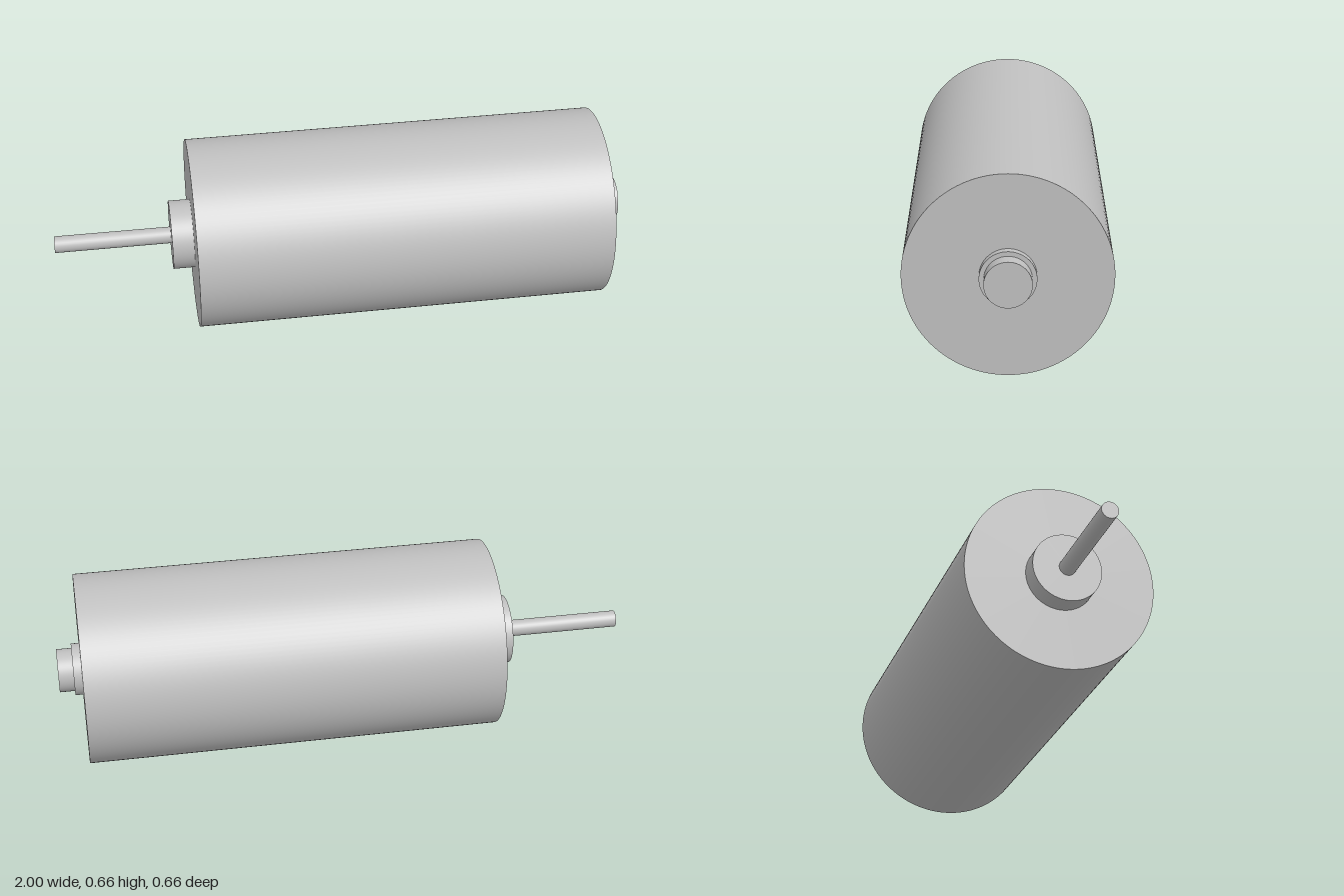
import * as THREE from 'three';

const AXIS_Y = 0.33; // height of the shared axis

export function createModel() {
  const group = new THREE.Group();
  const metal = new THREE.MeshStandardMaterial({ color: 0xc0c0c0 });
  metal.name = 'grey metal';

  // Cylinder lying along x between two ends
  function addRound(name, radius, x0, x1, sides = 64) {
    const geometry = new THREE.CylinderGeometry(radius, radius, x1 - x0, sides);
    geometry.rotateZ(-Math.PI / 2);
    const mesh = new THREE.Mesh(geometry, metal);
    mesh.name = name;
    mesh.position.set((x0 + x1) / 2, AXIS_Y, 0);
    group.add(mesh);
  }

  addRound('shaft', 0.029, -1, -0.595, 32);
  addRound('frontBoss', 0.12, -0.595, -0.52);
  addRound('body', 0.33, -0.52, 0.92, 128);
  addRound('rearCollar', 0.09, 0.92, 0.948);
  addRound('rearCap', 0.075, 0.948, 1);

  return group;
}
